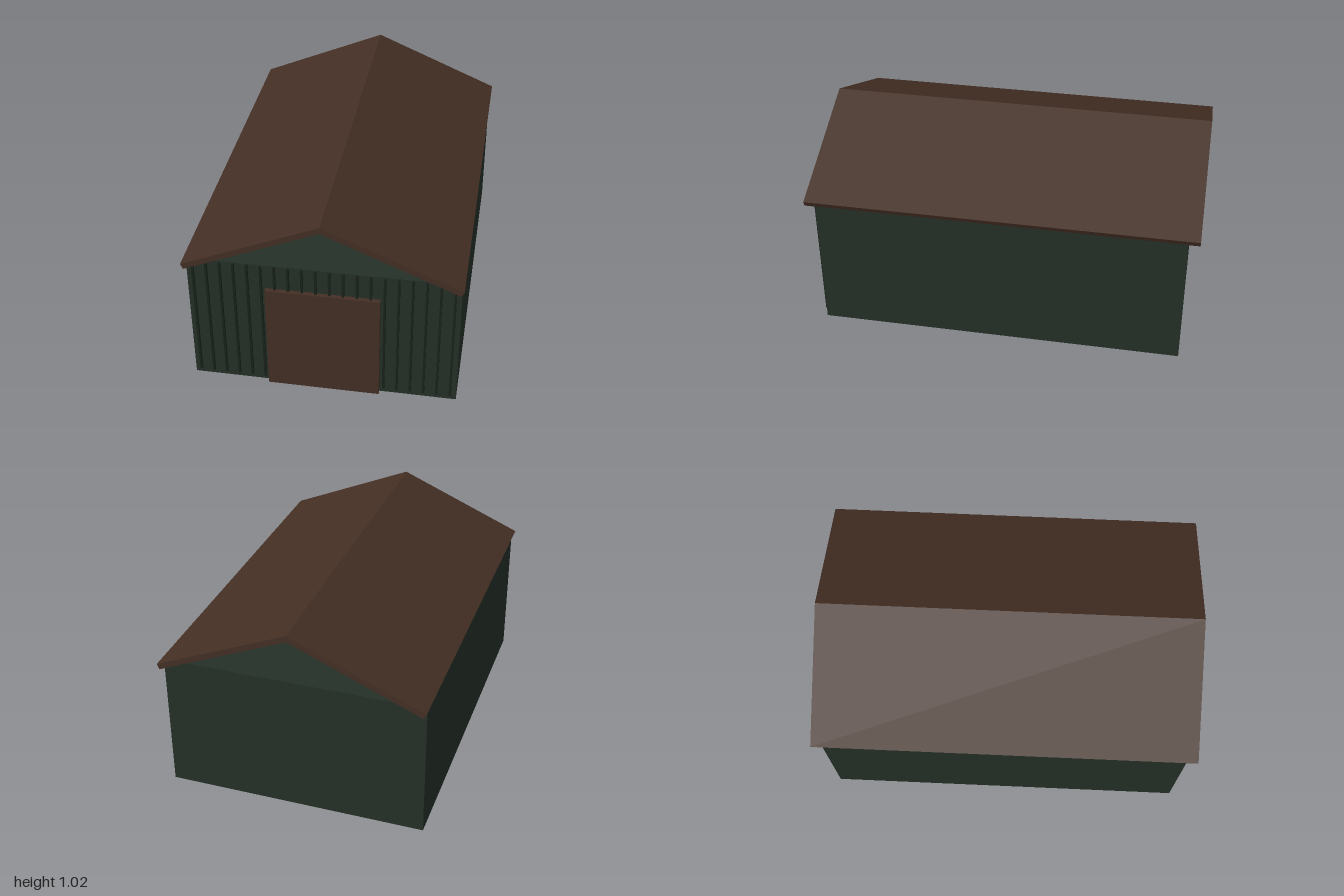
import * as THREE from 'three';

export function createModel() {
  const group = new THREE.Group();
  const material = (name, color) => {
    const m = new THREE.MeshStandardMaterial({ color });
    m.name = name;
    return m;
  };
  const wallGreen = material('wallGreen', 0x243027);
  const ribGreen = material('ribGreen', 0x19221b);
  const timberBrown = material('timberBrown', 0x442f24);

  const addBox = (name, mat, w, h, d, x, y, z) => {
    const mesh = new THREE.Mesh(new THREE.BoxGeometry(w, h, d), mat);
    mesh.name = name;
    mesh.position.set(x, y, z);
    group.add(mesh);
  };

  // closed box of walls; the gables above it stay open
  addBox('walls', wallGreen, 1.344, 0.73, 1.886, 0, 0.365, 0);

  // vertical cladding ribs on the front wall, partly hidden by the door
  const ribCount = 20;
  for (let i = 0; i < ribCount; i++) {
    const x = -0.641 + (i * 1.282) / (ribCount - 1);
    addBox('claddingRib', ribGreen, 0.011, 0.7, 0.014, x, 0.38, 0.95);
  }

  // large plain door
  addBox('door', timberBrown, 0.566, 0.595, 0.024, 0, 0.2975, 0.956);

  // two-slope roof slab, overhanging both ends
  const roofShape = new THREE.Shape([
    [0, 1.025], [-0.683, 0.735], [-0.671, 0.707],
    [0, 0.992], [0.671, 0.707], [0.683, 0.735],
  ].map(([x, y]) => new THREE.Vector2(x, y)));
  const roofGeometry = new THREE.ExtrudeGeometry(roofShape, { depth: 2, bevelEnabled: false });
  roofGeometry.translate(0, 0, -1);
  const roof = new THREE.Mesh(roofGeometry, timberBrown);
  roof.name = 'roof';
  group.add(roof);

  return group;
}
